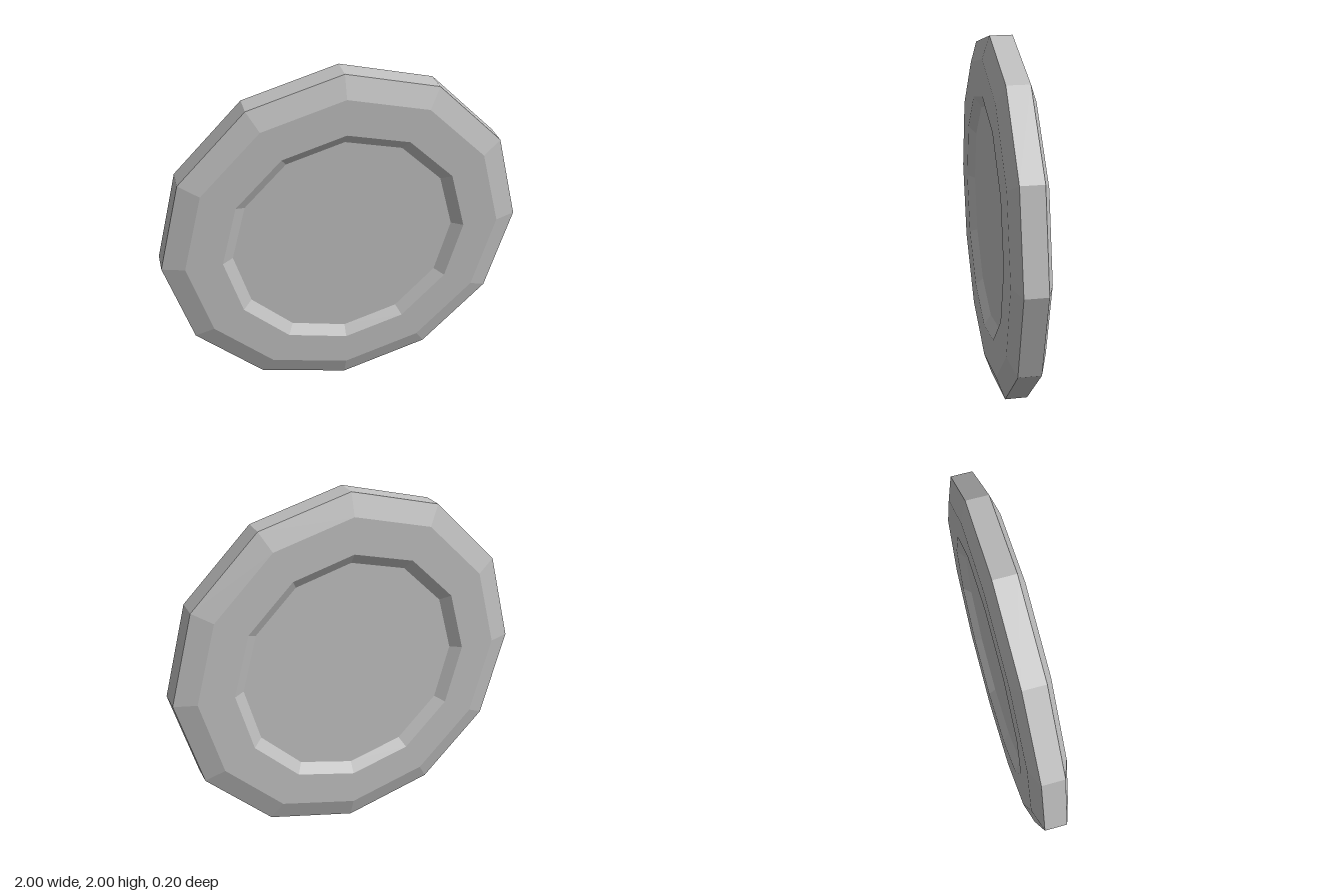
import * as THREE from 'three';

const SIDES = 12;

// Faceted ring swept from [radius, height] points, turned so its axis points along z
function facetedRing(points) {
  const profile = points.map(([r, h]) => new THREE.Vector2(r, h));
  const geometry = new THREE.LatheGeometry(profile, SIDES).toNonIndexed();
  geometry.computeVertexNormals();
  geometry.rotateX(Math.PI / 2);
  return geometry;
}

export function createModel() {
  const model = new THREE.Group();
  model.name = 'disc';
  const grey = new THREE.MeshStandardMaterial({ color: 0xc0c0c0 });
  grey.name = 'grey';

  const disc = new THREE.Group();
  disc.position.y = 1;
  model.add(disc);

  const add = (name, geometry) => {
    const mesh = new THREE.Mesh(geometry, grey);
    mesh.name = name;
    disc.add(mesh);
    return mesh;
  };

  // Bevelled outer rim with its flat front and back borders
  add('rim', facetedRing([
    [0.68, -0.1], [0.88, -0.1], [1, -0.06], [1, 0.06], [0.88, 0.1], [0.68, 0.1],
  ]));

  // Sloping recess wall and flat floor, on both faces
  for (const [side, turn] of [['front', 0], ['back', Math.PI]]) {
    add(side + 'RecessWall', facetedRing([[0.68, 0.1], [0.62, 0.06]])).rotation.y = turn;
    const floor = add(side + 'RecessFloor', new THREE.CircleGeometry(0.62, SIDES).translate(0, 0, 0.06));
    floor.rotation.y = turn;
  }
  return model;
}
